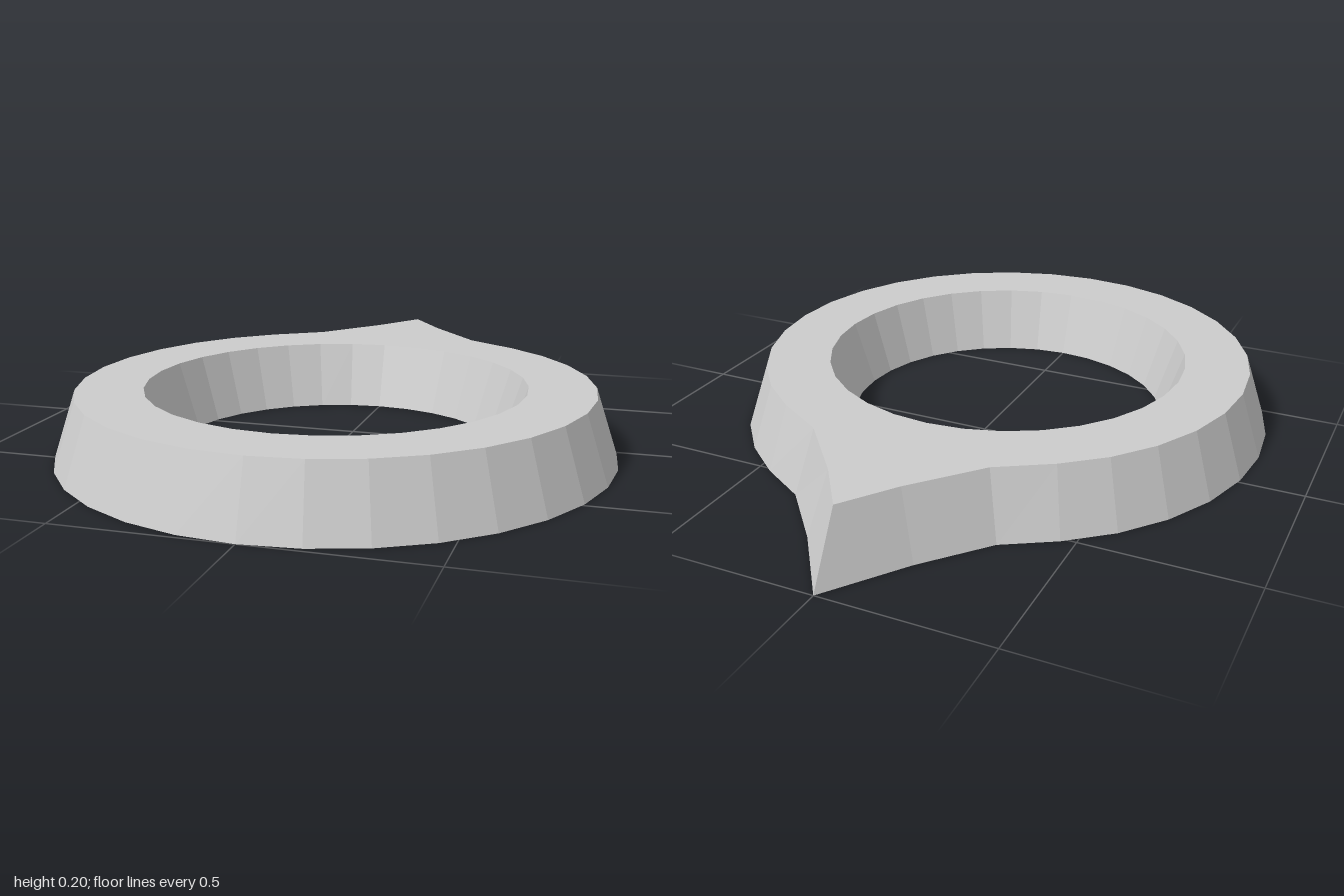
import * as THREE from 'three';

const SIDES = 32, HEIGHT = 0.198, CENTRE_Z = 0.174;

// Outline of a circle, with a few points moved to form the spike at the back
function outline(radius, y, moved = {}) {
  return Array.from({ length: SIDES }, (_, i) => {
    const a = (i / SIDES) * Math.PI * 2;
    const back = Math.abs(i - SIDES / 2);
    const side = Math.sign(SIDES / 2 - i);
    if (moved[back]) return [side * moved[back][0], y, moved[back][1]];
    return [radius * Math.sin(a), y, CENTRE_Z + radius * Math.cos(a)];
  });
}

// Closed skin joining each outline to the next, and the last to the first
function loft(loops) {
  const positions = [];
  loops.forEach((lower, k) => {
    const upper = loops[(k + 1) % loops.length];
    for (let i = 0; i < SIDES; i++) {
      const j = (i + 1) % SIDES;
      positions.push(...lower[i], ...lower[j], ...upper[j]);
      positions.push(...lower[i], ...upper[j], ...upper[i]);
    }
  });
  const geometry = new THREE.BufferGeometry();
  geometry.setAttribute('position', new THREE.Float32BufferAttribute(positions, 3));
  geometry.computeVertexNormals();
  return geometry;
}

export function createModel() {
  const group = new THREE.Group();
  group.name = 'pointedRing';

  // Ring with sloping walls; spike points keyed by steps away from the tip
  const geometry = loft([
    outline(0.826, 0, { 0: [0, -1], 1: [0.16, -0.777], 2: [0.313, -0.6] }),
    outline(0.76, HEIGHT, { 0: [0, -0.887], 1: [0.108, -0.736], 2: [0.27, -0.55] }),
    outline(0.563, HEIGHT),
    outline(0.497, 0),
  ]);
  const ring = new THREE.Mesh(
    geometry,
    new THREE.MeshStandardMaterial({ color: 0xcccccc, flatShading: true })
  );
  ring.name = 'ringWithSpike';
  group.add(ring);
  return group;
}
